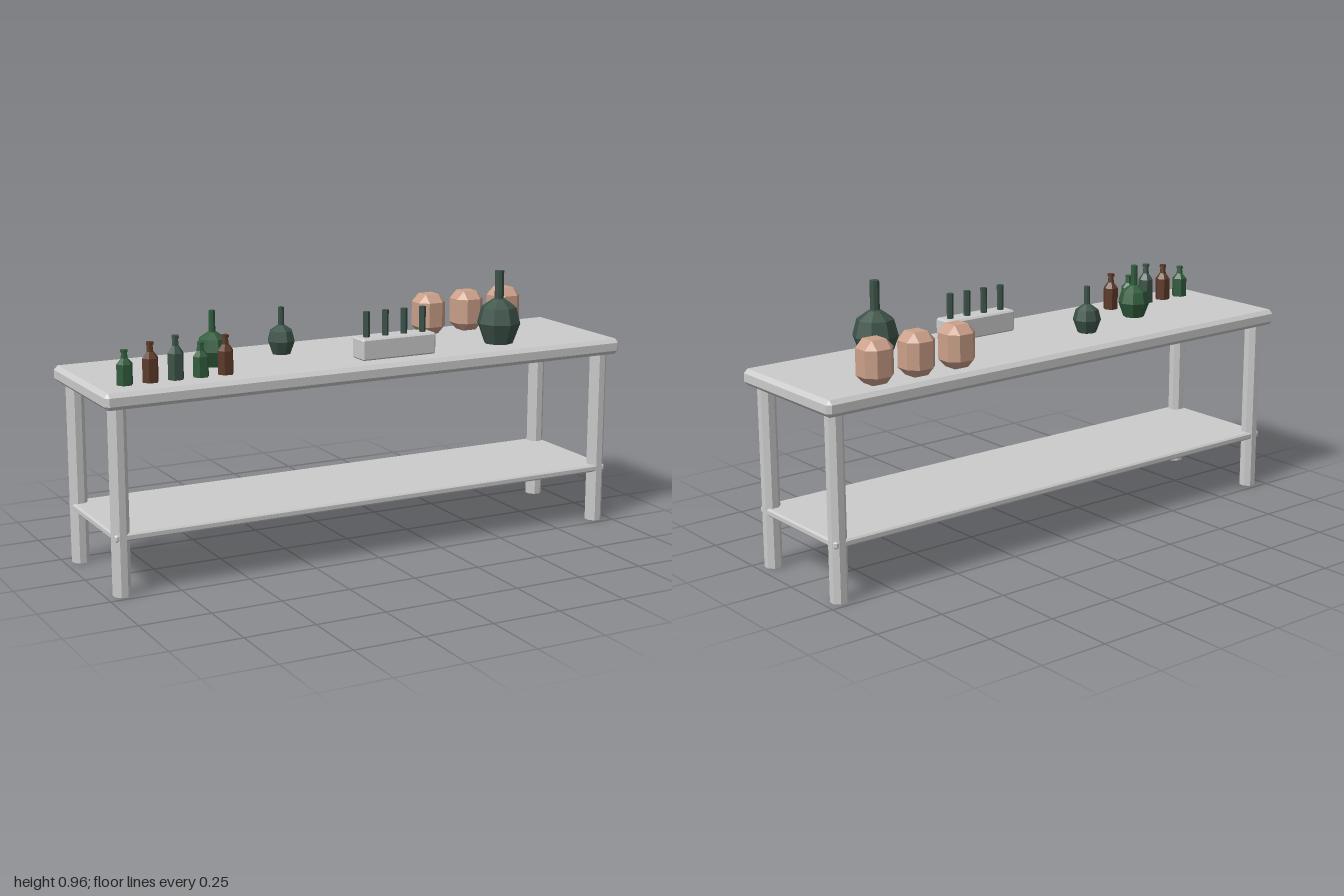
import * as THREE from 'three';
import { ConvexGeometry } from 'three/addons/geometries/ConvexGeometry.js';

const material = (color) =>
  new THREE.MeshStandardMaterial({ color, flatShading: true });
const grey = material(0xcccccc);
const darkGreen = material(0x3c5348);
const green = material(0x315c3c);
const brown = material(0x5c3a28);
const clay = material(0xcba08a);

// Box with every edge cut at 45 degrees, origin at its centre
function chamferBox(w, h, d, c) {
  const points = [];
  for (const sx of [-1, 1]) for (const sy of [-1, 1]) for (const sz of [-1, 1]) {
    const [x, y, z] = [w / 2, h / 2, d / 2];
    points.push(
      new THREE.Vector3(sx * x, sy * (y - c), sz * (z - c)),
      new THREE.Vector3(sx * (x - c), sy * y, sz * (z - c)),
      new THREE.Vector3(sx * (x - c), sy * (y - c), sz * z));
  }
  return new ConvexGeometry(points);
}

// Faceted solid of revolution from [radius, height] pairs
function turned(profile, sides) {
  return new THREE.LatheGeometry(profile.map(([r, y]) => new THREE.Vector2(r, y)), sides);
}

export function createModel() {
  const model = new THREE.Group();
  const add = (name, geometry, mat, x, y, z) => {
    const mesh = new THREE.Mesh(geometry, mat);
    mesh.name = name;
    mesh.position.set(x, y, z);
    model.add(mesh);
    return mesh;
  };
  const topY = 0.695;

  // Table
  add('tableTop', chamferBox(2, 0.057, 0.522, 0.014), grey, 0, topY - 0.0285, 0);
  add('lowerShelf', chamferBox(1.94, 0.026, 0.462, 0.006), grey, 0, 0.203, 0);
  const legGeometry = new THREE.CylinderGeometry(0.031, 0.031, 0.65, 8).rotateY(Math.PI / 8);
  for (const x of [-0.943, 0.943])
    for (const z of [-0.203, 0.203]) add('leg', legGeometry, grey, x, 0.325, z);

  // Round flasks with long necks, sized by body radius
  const flaskGeometry = turned([
    [0, 0], [0.66, 0], [1, 0.93], [0.81, 1.64], [0.3, 2.0],
    [0.21, 2.04], [0.21, 3.3], [0, 3.3]], 8);
  [['largeFlask', darkGreen, 0.565, 0.11, 0.08],
   ['greenFlask', green, -0.517, 0, 0.058],
   ['smallFlask', darkGreen, -0.22, -0.077, 0.0505],
  ].forEach(([name, mat, x, z, r]) =>
    add(name, flaskGeometry, mat, x, topY, z).scale.setScalar(r));

  // Row of small six-sided bottles
  const bottleGeometry = turned([
    [0, 0], [0.028, 0], [0.028, 0.6], [0.012, 0.76],
    [0.01, 0.93], [0.013, 0.93], [0.013, 1], [0, 1]], 6).rotateY(Math.PI / 2);
  [[green, 0.116], [brown, 0.134], [darkGreen, 0.148], [green, 0.116], [brown, 0.134]]
    .forEach(([mat, height], i) => {
      add('bottle', bottleGeometry, mat, -0.89 + i * 0.0895, topY, 0.145).scale.y = height;
    });

  // Rack holding four tubes
  add('tubeRack', chamferBox(0.292, 0.077, 0.082, 0.006), grey, 0.115, topY + 0.0375, 0.14);
  const tubeGeometry = new THREE.CylinderGeometry(0.012, 0.012, 0.11, 6);
  for (let i = 0; i < 4; i++)
    add('tube', tubeGeometry, darkGreen, 0.004 + i * 0.0745, 0.806, 0.14);

  // Clay jars
  const jarGeometry = chamferBox(0.112, 0.149, 0.112, 0.029);
  for (const x of [0.433, 0.597, 0.761])
    add('clayJar', jarGeometry, clay, x, topY + 0.0745, -0.17);

  return model;
}
